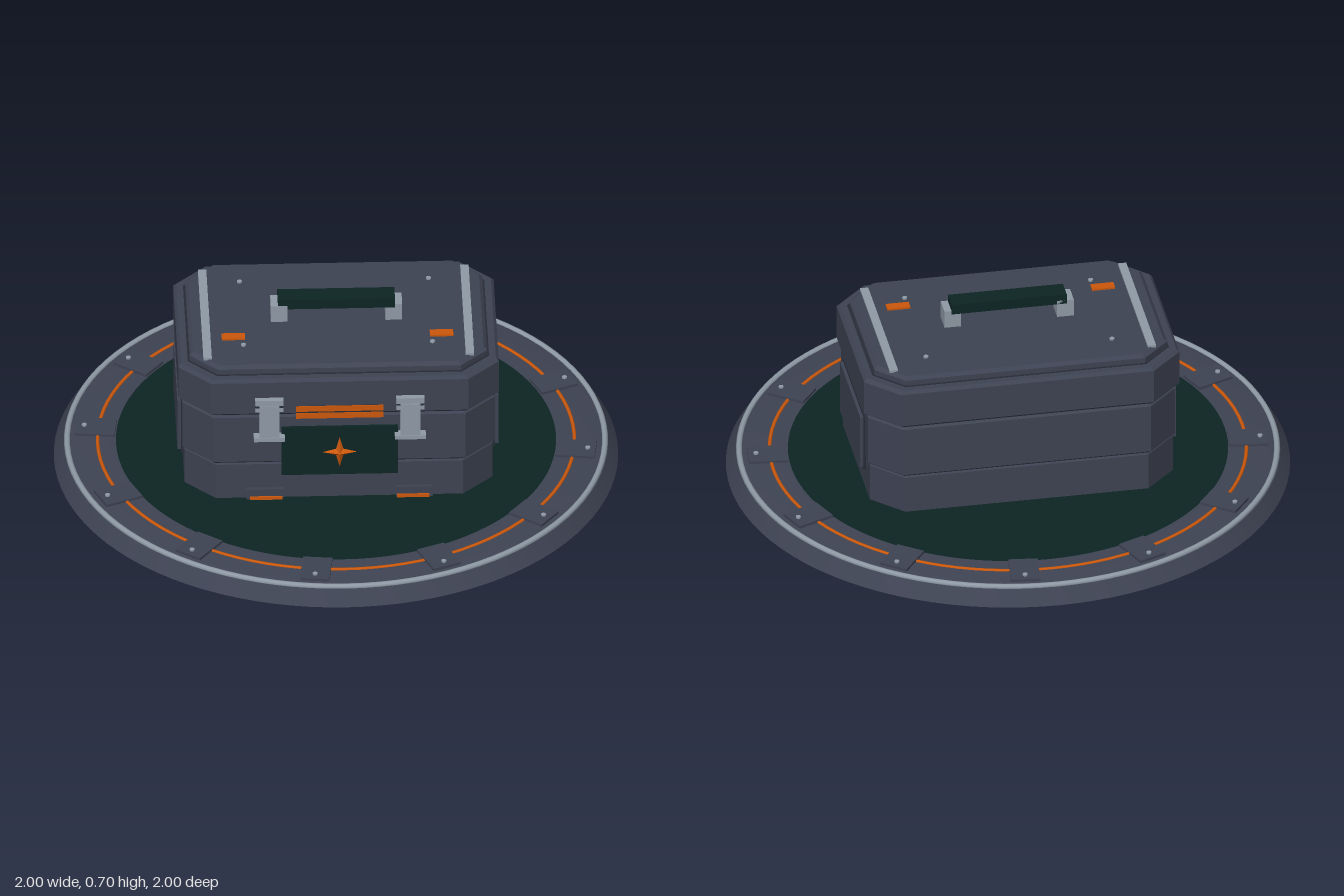
import * as THREE from 'three';
import { toCreasedNormals } from 'three/addons/utils/BufferGeometryUtils.js';

const mat = (name, color) => {
  const m = new THREE.MeshStandardMaterial({ color });
  m.name = name;
  return m;
};

// Chamfered-rectangle prism: each section is [halfX, halfZ, chamfer, y], bottom to top
function chamferedLoft(sections) {
  const rings = sections.map(([x, z, c, y]) => [
    [x, z - c], [x - c, z], [c - x, z], [-x, z - c],
    [-x, c - z], [c - x, -z], [x - c, -z], [x, c - z],
  ].map(([px, pz]) => [px, y, pz]));
  const pos = [];
  const tri = (a, b, c) => pos.push(...a, ...b, ...c);
  for (let s = 0; s < rings.length - 1; s++) {
    for (let i = 0; i < 8; i++) {
      const j = (i + 1) % 8, lo = rings[s], hi = rings[s + 1];
      tri(lo[i], hi[i], hi[j]);
      tri(lo[i], hi[j], lo[j]);
    }
  }
  const bottom = rings[0], top = rings[rings.length - 1];
  for (let i = 1; i < 7; i++) {
    tri(bottom[0], bottom[i], bottom[i + 1]);
    tri(top[0], top[i + 1], top[i]);
  }
  const g = new THREE.BufferGeometry();
  g.setAttribute('position', new THREE.Float32BufferAttribute(pos, 3));
  g.computeVertexNormals();
  return g;
}

// Four-pointed star with a raised centre, facing +z
function starGeometry(radius, height) {
  const g = new THREE.ConeGeometry(radius, height, 8, 1).toNonIndexed();
  const p = g.attributes.position;
  for (let i = 0; i < p.count; i++) {
    const k = Math.round(Math.atan2(p.getX(i), p.getZ(i)) / (Math.PI / 4));
    if (Math.abs(k) % 2 === 1) p.setXYZ(i, p.getX(i) * 0.3, p.getY(i), p.getZ(i) * 0.3);
  }
  g.rotateX(Math.PI / 2);
  g.computeVertexNormals();
  return g;
}

export function createModel() {
  const model = new THREE.Group();
  model.name = 'fieldCaseOnRoundBase';
  const slate = mat('slate', 0x3e4353);
  const dark = mat('darkSeam', 0x272b36);
  const silver = mat('silver', 0x8f9aa6);
  const green = mat('deepGreen', 0x0c2524);
  const orange = mat('orange', 0xcc580c);

  const add = (name, geo, material, x = 0, y = 0, z = 0, parent = model) => {
    const m = new THREE.Mesh(geo, material);
    m.name = name;
    m.position.set(x, y, z);
    parent.add(m);
    return m;
  };
  // Box given by its centre x, z, its size and its bottom and top heights
  const box = (name, material, x, z, w, d, y0, y1, parent) =>
    add(name, new THREE.BoxGeometry(w, y1 - y0, d), material, x, (y0 + y1) / 2, z, parent);
  const ring = (name, material, radius, tube, y) =>
    add(name, new THREE.TorusGeometry(radius, tube, 8, 96).rotateX(Math.PI / 2), material, 0, y, 0);

  // Round base
  const profile = [[0, 0.01], [0.99, 0.01], [1, 0.016], [0.965, 0.07], [0.95, 0.076], [0.78, 0.076], [0.78, 0.06], [0, 0.06]]
    .map(([x, y]) => new THREE.Vector2(x, y));
  add('base', toCreasedNormals(new THREE.LatheGeometry(profile, 96), 0.5), slate);
  add('baseMat', new THREE.CylinderGeometry(0.78, 0.78, 0.02, 96), green, 0, 0.064, 0);
  ring('rimTrim', silver, 0.953, 0.011, 0.074);
  ring('glowRing', orange, 0.845, 0.007, 0.075);
  ring('undersideRing', orange, 0.842, 0.006, 0.009);
  ring('undersideTrim', silver, 0.852, 0.004, 0.009);

  // Clamps around the rim, with feet under every other one
  for (let i = 0; i < 12; i++) {
    const a = THREE.MathUtils.degToRad(6.7 + i * 30);
    const clamp = new THREE.Group();
    clamp.name = 'rimClamp';
    clamp.rotation.y = -a;
    model.add(clamp);
    box('clampPlate', slate, 0.853, 0, 0.14, 0.105, 0.07, 0.086, clamp);
    add('clampBolt', new THREE.CylinderGeometry(0.009, 0.009, 0.01, 12), silver, 0.895, 0.087, 0, clamp);
    if (i % 2) add('foot', new THREE.CylinderGeometry(0.025, 0.025, 0.014, 12), silver, 0.842, 0.007, 0, clamp);
  }

  // Case body: two bands with a recessed seam, and a recessed neck below the lid
  add('bodyCore', chamferedLoft([[0.54, 0.358, 0.105, 0.07], [0.54, 0.358, 0.105, 0.44]]), dark);
  add('bodyLower', chamferedLoft([
    [0.546, 0.364, 0.108, 0.07], [0.546, 0.364, 0.108, 0.214], [0.542, 0.36, 0.106, 0.219],
  ]), slate);
  add('bodyUpper', chamferedLoft([
    [0.548, 0.364, 0.106, 0.223], [0.554, 0.369, 0.108, 0.229], [0.554, 0.369, 0.108, 0.415], [0.548, 0.363, 0.106, 0.422],
  ]), slate);

  // Lid with bevelled edge and raised top plate
  add('lid', chamferedLoft([
    [0.558, 0.368, 0.11, 0.427], [0.568, 0.378, 0.112, 0.437],
    [0.568, 0.378, 0.112, 0.566], [0.558, 0.368, 0.11, 0.577],
  ]), slate);
  add('lidSeam', chamferedLoft([[0.534, 0.344, 0.1, 0.57], [0.534, 0.344, 0.1, 0.5785]]), dark);
  add('lidPlate', chamferedLoft([
    [0.527, 0.337, 0.096, 0.575], [0.527, 0.337, 0.096, 0.598], [0.515, 0.325, 0.092, 0.61],
  ]), slate);

  // Carry handle
  box('handleGrip', green, 0, 0.014, 0.415, 0.074, 0.662, 0.7);
  for (const s of [-1, 1]) {
    box('handlePost', silver, s * 0.203, 0.014, 0.06, 0.074, 0.605, 0.676);

    // Lid trim
    box('lidStrip', silver, s * 0.465, 0, 0.03, 0.575, 0.607, 0.617);
    box('lidMarker', orange, s * 0.369, 0.147, 0.083, 0.036, 0.609, 0.617);
    for (const z of [-0.21, 0.2]) {
      add('lidBolt', new THREE.CylinderGeometry(0.009, 0.009, 0.008, 12), silver, s * 0.335, 0.612, z);
    }

    // Front latches
    const latch = new THREE.Group();
    latch.name = 'latch';
    latch.position.x = s * 0.25;
    model.add(latch);
    box('latchArm', silver, 0, 0.386, 0.07, 0.034, 0.345, 0.48, latch);
    box('latchCap', silver, 0, 0.384, 0.1, 0.03, 0.455, 0.503, latch);
    box('latchCapGroove', dark, 0, 0.398, 0.1, 0.006, 0.474, 0.48, latch);
    box('latchLip', silver, 0, 0.388, 0.11, 0.036, 0.334, 0.35, latch);

    // Side panels
    box('sidePanelSeam', dark, s * 0.553, 0, 0.008, 0.404, 0.166, 0.384);
    box('sidePanel', slate, s * 0.558, 0, 0.022, 0.39, 0.174, 0.377);

    // Front hinge feet
    box('footBlock', slate, s * 0.265, 0.364, 0.13, 0.024, 0.07, 0.115);
    box('footMarker', orange, s * 0.26, 0.372, 0.115, 0.02, 0.07, 0.086);
  }

  // Front badge plate, star and light bars
  box('badgePlate', green, 0, 0.37, 0.412, 0.02, 0.176, 0.375);
  add('badgeStar', starGeometry(0.066, 0.018), orange, 0, 0.27, 0.388);
  box('lightBarBack', dark, 0, 0.376, 0.31, 0.008, 0.414, 0.466);
  box('lightBarUpper', orange, 0, 0.377, 0.31, 0.012, 0.444, 0.466);
  box('lightBarLower', orange, 0, 0.377, 0.31, 0.012, 0.415, 0.437);

  return model;
}
